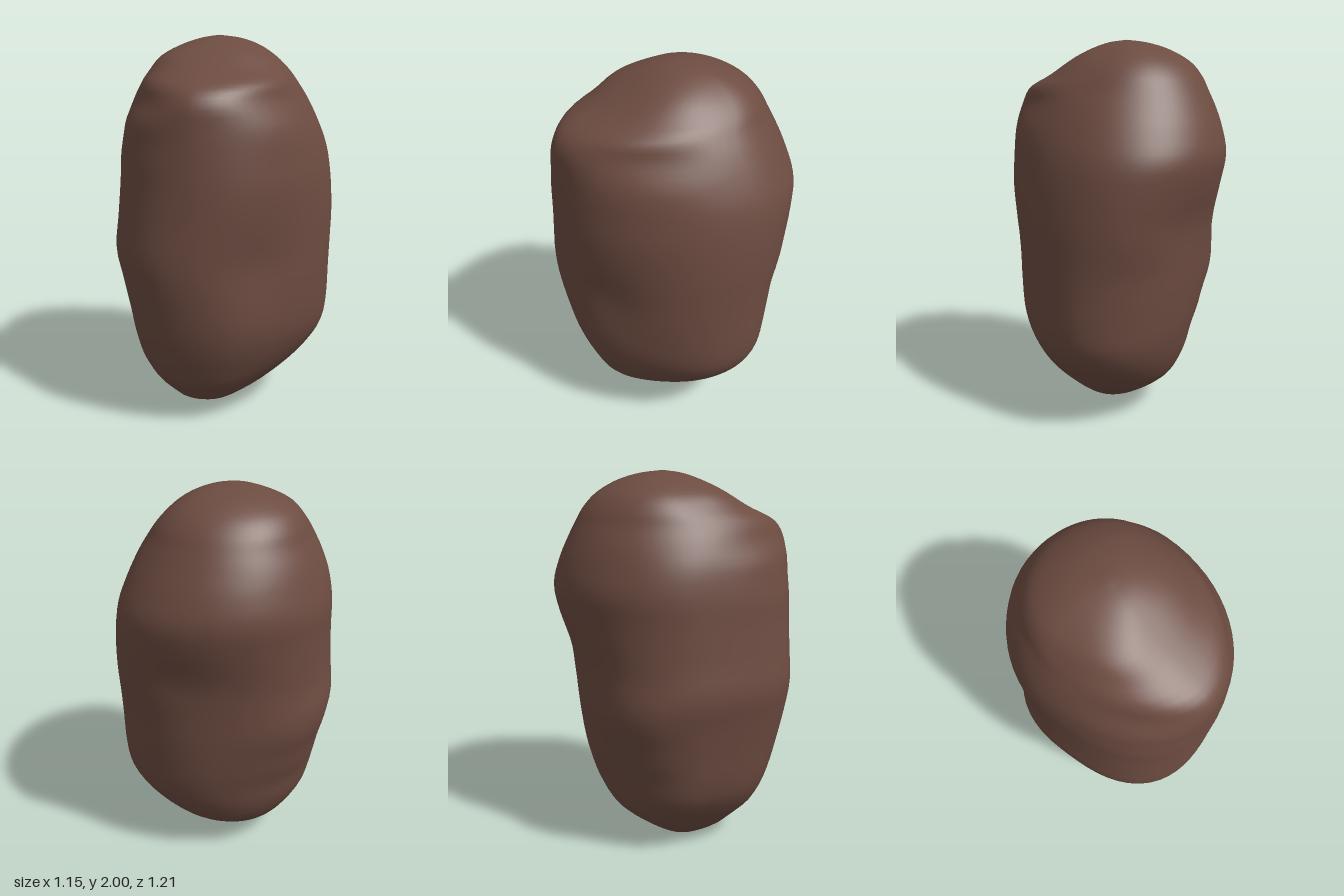
import * as THREE from 'three';
import { mergeVertices } from 'three/addons/utils/BufferGeometryUtils.js';

// Cross-sections from bottom to top: y, right x, left x, back z, front z
const SECTIONS = [
  [0, -0.1, -0.1, 0.07, 0.07],
  [0.025, -0.19, 0.03, -0.05, 0.16],
  [0.08, -0.265, 0.15, -0.16, 0.27],
  [0.2, -0.36, 0.31, -0.315, 0.41],
  [0.33, -0.445, 0.45, -0.39, 0.48],
  [0.46, -0.485, 0.535, -0.43, 0.53],
  [0.6, -0.51, 0.56, -0.46, 0.565],
  [0.78, -0.545, 0.565, -0.485, 0.595],
  [0.93, -0.575, 0.57, -0.5, 0.605],
  [1.1, -0.56, 0.575, -0.525, 0.605],
  [1.28, -0.55, 0.565, -0.575, 0.605],
  [1.43, -0.545, 0.54, -0.602, 0.602],
  [1.56, -0.525, 0.49, -0.575, 0.598],
  [1.67, -0.485, 0.435, -0.53, 0.59],
  [1.75, -0.445, 0.385, -0.49, 0.53],
  [1.82, -0.405, 0.335, -0.45, 0.38],
  [1.89, -0.345, 0.265, -0.385, 0.25],
  [1.95, -0.24, 0.175, -0.28, 0.14],
  [1.985, -0.135, 0.075, -0.165, 0.05],
  [2, -0.04, -0.04, -0.05, -0.05],
];

// How far the corners swell or flatten: y, front left, front right, back right, back left
const CORNERS = [
  [0, 0, 0, 0, 0],
  [0.1, -0.025, 0.025, 0, 0],
  [0.25, -0.03, 0.045, 0, 0],
  [0.45, -0.04, 0.045, 0, 0],
  [0.62, -0.035, 0.045, 0.025, -0.005],
  [0.8, -0.03, 0.045, 0.05, 0],
  [1.05, -0.03, 0.045, 0.02, 0.02],
  [1.35, -0.015, 0.035, -0.005, 0.01],
  [1.55, -0.005, 0.015, -0.01, 0],
  [1.68, -0.03, -0.02, 0, 0],
  [1.8, 0.015, 0.01, 0, 0],
  [1.9, 0.03, 0.03, 0, 0],
  [2, 0, 0, 0, 0],
];

// Soft dents: x, y, z, radius, depth
const DENTS = [
  [0.16, 0.86, 0.48, 0.26, 0.04],
  [0.22, 1.12, -0.47, 0.2, 0.015],
];

const RINGS = 64, SIDES = 64;
const mix = THREE.MathUtils.lerp;

// Corner swelling at height y, eased between rows
function cornersAt(y) {
  const n = Math.max(1, CORNERS.findIndex((row) => row[0] >= y));
  const lo = CORNERS[n - 1], hi = CORNERS[n];
  const t = THREE.MathUtils.smoothstep(y, lo[0], hi[0]);
  return [1, 2, 3, 4].map((k) => mix(lo[k], hi[k], t));
}

function buildStone() {
  const curve = (a, b) => new THREE.CatmullRomCurve3(
    SECTIONS.map((s) => new THREE.Vector3(s[0], s[a], s[b])), false, 'catmullrom', 0.5);
  const widths = curve(1, 2), depths = curve(3, 4);
  const positions = [], indices = [];

  for (let j = 0; j <= RINGS; j++) {
    const { x, y: xMin, z: xMax } = widths.getPoint(j / RINGS);
    const { y: zMin, z: zMax } = depths.getPoint(j / RINGS);
    const y = THREE.MathUtils.clamp(x, 0, 2);
    const corners = cornersAt(y);
    for (let i = 0; i < SIDES; i++) {
      // Four quarter ellipses joined at off-centre extremes
      const a = (i / SIDES) * Math.PI * 2, c = Math.cos(a), s = Math.sin(a);
      const cx = mix(xMin, xMax, s > 0 ? 0.42 : 0.52);
      const cz = mix(zMin, zMax, c > 0 ? 0.4 : 0.46);
      const px = cx + c * (c > 0 ? xMax - cx : cx - xMin);
      const pz = cz + s * (s > 0 ? zMax - cz : cz - zMin);
      // Swell the corners and press in the dents horizontally
      let push = corners[Math.floor((i * 4) / SIDES)] * Math.sin(2 * a) ** 2;
      for (const [dx, dy, dz, r, depth] of DENTS) {
        const q = ((px - dx) ** 2 + (y - dy) ** 2 + (pz - dz) ** 2) / (r * r);
        push -= depth * Math.exp(-q * 1.5);
      }
      positions.push(px + c * push, y, pz + s * push);
    }
  }
  for (let j = 0; j < RINGS; j++) {
    for (let i = 0; i < SIDES; i++) {
      const k = (i + 1) % SIDES, lo = j * SIDES, hi = lo + SIDES;
      indices.push(lo + i, hi + i, lo + k, lo + k, hi + i, hi + k);
    }
  }
  let geometry = new THREE.BufferGeometry();
  geometry.setAttribute('position', new THREE.Float32BufferAttribute(positions, 3));
  geometry.setIndex(indices);
  geometry = mergeVertices(geometry, 1e-5); // closes the two poles
  geometry.computeVertexNormals();
  return geometry;
}

export function createModel() {
  const brown = new THREE.MeshStandardMaterial({ color: 0x6d4c41 });
  brown.name = 'earthBrown';
  const stone = new THREE.Mesh(buildStone(), brown);
  stone.name = 'stone';
  const group = new THREE.Group();
  group.name = 'lumpyStone';
  group.add(stone);
  return group;
}
